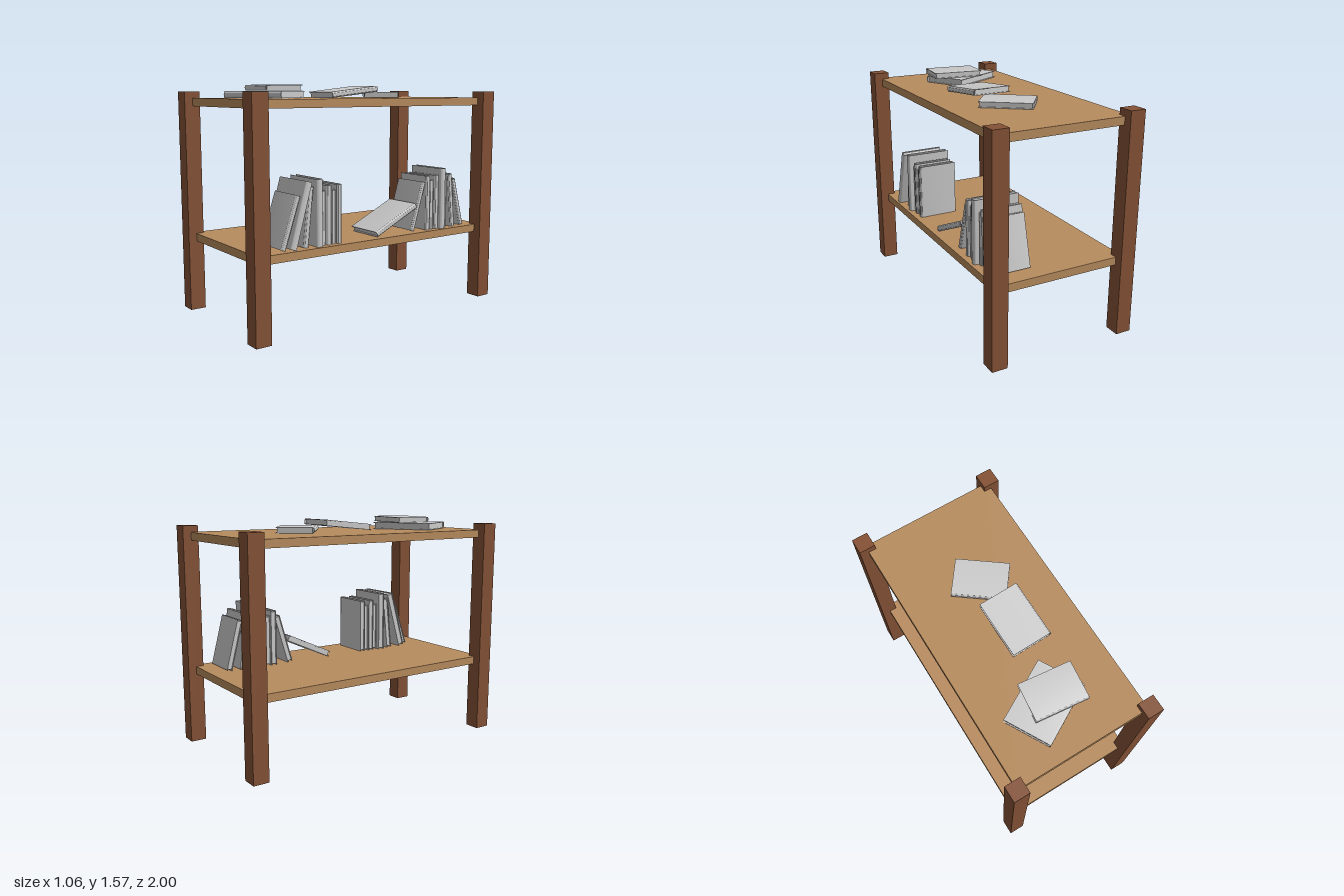
import * as THREE from 'three';
import { toCreasedNormals } from 'three/addons/utils/BufferGeometryUtils.js';

const legMat = new THREE.MeshStandardMaterial({ color: 0x855236 });
const shelfMat = new THREE.MeshStandardMaterial({ color: 0xb88c5e });
const bookMat = new THREE.MeshStandardMaterial({ color: 0xcccccc });

const SHELF_TOPS = [0.545, 1.485];
const rad = THREE.MathUtils.degToRad;

// width, height, thickness of the three book formats
const SIZES = {
  S: [0.258, 0.355, 0.039],
  M: [0.28, 0.39, 0.041],
  L: [0.32, 0.437, 0.048],
};

// Wrap-around cover and page block; stands on y = 0 with the spine at +x
function makeBookParts([w, h, t]) {
  const board = 0.005, bulge = 0.014, sx = w / 2 - bulge;
  const s = new THREE.Shape();
  s.moveTo(-w / 2, -t / 2);
  s.lineTo(sx, -t / 2);
  s.absellipse(sx, 0, bulge, t / 2, -Math.PI / 2, Math.PI / 2, false);
  s.lineTo(-w / 2, t / 2);
  s.lineTo(-w / 2, t / 2 - board);
  s.lineTo(sx, t / 2 - board);
  s.absellipse(sx, 0, bulge - board, t / 2 - board, Math.PI / 2, -Math.PI / 2, true);
  s.lineTo(-w / 2, -t / 2 + board);
  s.closePath();
  const extruded = new THREE.ExtrudeGeometry(s, { depth: h, bevelEnabled: false, curveSegments: 10 });
  extruded.rotateX(-Math.PI / 2);
  const cover = toCreasedNormals(extruded, 0.8);

  const inset = 0.008;
  const pages = new THREE.BoxGeometry(sx + w / 2 - inset, h - 2 * inset, t - 2 * board);
  pages.translate((sx - w / 2 + inset) / 2, h / 2, 0);
  return { cover, pages };
}

const bookParts = {};
for (const k in SIZES) bookParts[k] = makeBookParts(SIZES[k]);

function makeBook(kind, name) {
  const book = new THREE.Group();
  book.name = name;
  for (const part of ['cover', 'pages']) {
    const mesh = new THREE.Mesh(bookParts[kind][part], bookMat);
    mesh.name = part;
    book.add(mesh);
  }
  return book;
}

// Book on its lower edge; a positive lean tips the top towards -z
function standingBook(kind, z, lean = 0, yaw = 0, x = 0.29) {
  const book = makeBook(kind, lean > 40 ? 'fallenBook' : lean ? 'leaningBook' : 'uprightBook');
  const a = rad(lean);
  book.rotation.set(-a, rad(yaw), 0, 'YXZ');
  book.position.set(x, SHELF_TOPS[0] + (SIZES[kind][2] / 2) * Math.abs(Math.sin(a)), z);
  return book;
}

// Book lying on its side, centred on (x, y, z); pitch lifts its head
function lyingBook(kind, x, y, z, yaw, pitch = 0) {
  const pivot = new THREE.Group();
  pivot.name = 'lyingBook';
  const book = makeBook(kind, 'book');
  book.position.y = -SIZES[kind][1] / 2;
  pivot.add(book);
  pivot.rotation.set(rad(pitch - 90), rad(yaw), 0, 'YXZ');
  pivot.position.set(x, y, z);
  return pivot;
}

export function createModel() {
  const model = new THREE.Group();
  model.name = 'bookcase';

  // Corner posts
  const legGeo = new THREE.BoxGeometry(0.11, 1.53, 0.11);
  for (const sx of [-1, 1]) for (const sz of [-1, 1]) {
    const leg = new THREE.Mesh(legGeo, legMat);
    leg.name = 'leg';
    leg.position.set(sx * 0.473, 0.765, sz * 0.945);
    model.add(leg);
  }

  // Two boards
  const shelfGeo = new THREE.BoxGeometry(0.94, 0.055, 1.885);
  SHELF_TOPS.forEach((top, i) => {
    const shelf = new THREE.Mesh(shelfGeo, shelfMat);
    shelf.name = i ? 'topShelf' : 'lowerShelf';
    shelf.position.y = top - 0.0275;
    model.add(shelf);
  });

  // Front row on the lower shelf: size, z, lean, yaw, x
  const frontRow = [
    ['S', 0.745, 18.5, 0, 0.305], ['L', 0.685, 16, 1, 0.3], ['M', 0.57, 6, 0, 0.285],
    ['L', 0.479], ['S', 0.435], ['M', 0.395], ['S', 0.354], ['M', 0.314],
  ];
  // Back row, starting with the one that slid down
  const backRow = [
    ['M', 0.002, 65, 1], ['S', -0.328, 16.5],
    ['M', -0.464], ['S', -0.504], ['M', -0.545], ['L', -0.59], ['S', -0.634],
    ['M', -0.71, -5.5], ['S', -0.808, -14.5],
  ];
  const rows = { frontBooks: frontRow, backBooks: backRow };
  for (const name in rows) {
    const row = new THREE.Group();
    row.name = name;
    for (const args of rows[name]) row.add(standingBook(...args));
    model.add(row);
  }

  // Loose books on the top shelf
  const loose = new THREE.Group();
  loose.name = 'topBooks';
  loose.add(
    lyingBook('L', -0.055, 1.51, 0.585, -61),
    lyingBook('S', 0.02, 1.554, 0.565, -96.5),
    lyingBook('M', 0.082, 1.527, 0.035, 1.5, 6),
    lyingBook('S', 0.045, 1.505, -0.322, -127),
  );
  model.add(loose);

  return model;
}
